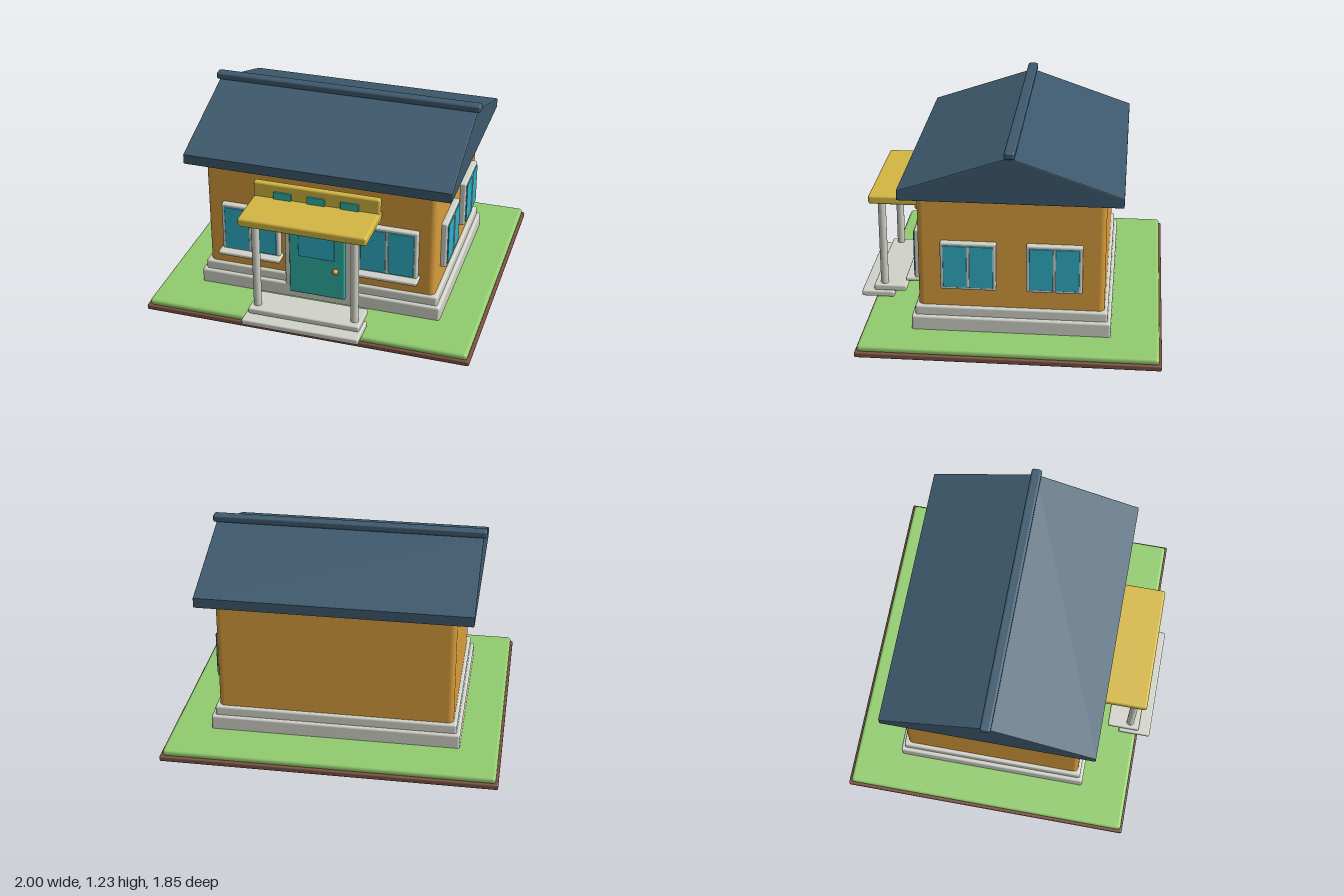
import * as THREE from 'three';
import { RoundedBoxGeometry } from 'three/addons/geometries/RoundedBoxGeometry.js';

const paint = (name, color) => {
  const m = new THREE.MeshStandardMaterial({ color });
  m.name = name;
  return m;
};

export function createModel() {
  const soil = paint('soil brown', 0x7a5040);
  const grass = paint('grass green', 0x92cc6e);
  const stone = paint('pale stone', 0xd2d3c9);
  const wall = paint('ochre wall', 0xd89c3c);
  const slate = paint('slate blue roof', 0x3d596d);
  const glass = paint('window blue', 0x30b0c8);
  const teal = paint('door teal', 0x2fb5a8);
  const yellow = paint('canopy yellow', 0xd4b843);
  const brass = paint('brass', 0xe0a030);

  const model = new THREE.Group();
  model.name = 'house';

  const add = (name, geometry, material, parent = model) => {
    const mesh = new THREE.Mesh(geometry, material);
    mesh.name = name;
    parent.add(mesh);
    return mesh;
  };

  // Rounded box given by its extents on each axis
  const block = (name, material, [x0, x1], [y0, y1], [z0, z1], r = 0.008, parent = model) => {
    const mesh = add(name, new RoundedBoxGeometry(x1 - x0, y1 - y0, z1 - z0, 3, r), material, parent);
    mesh.position.set((x0 + x1) / 2, (y0 + y1) / 2, (z0 + z1) / 2);
    return mesh;
  };
  const sym = (h) => [-h, h];

  // Ground
  block('soil', soil, sym(1), [0, 0.035], [-0.92, 0.85], 0.01);
  block('lawn', grass, sym(0.985), [0.025, 0.07], [-0.905, 0.838], 0.02);

  // Foundation and walls
  block('lowerFoundation', stone, sym(0.752), [0.05, 0.158], [-0.62, 0.55], 0.014);
  block('upperFoundation', stone, sym(0.73), [0.13, 0.216], [-0.6, 0.53], 0.014);
  block('walls', wall, sym(0.708), [0.16, 0.905], [-0.58, 0.512], 0.035);

  // Gabled roof, extruded along x with a slight bevel
  const b = 0.007;
  const gable = new THREE.Shape([
    [-0.605 + b, 0.915 + b], [0.677 - b, 0.915 + b], [0.677 - b, 0.977 - b],
    [0.036, 1.195 - b], [-0.605 + b, 0.977 - b],
  ].map(([x, y]) => new THREE.Vector2(x, y)));
  const roofGeometry = new THREE.ExtrudeGeometry(gable, {
    depth: 1.62 - 2 * b, bevelEnabled: true, bevelSize: b, bevelThickness: b, bevelSegments: 2,
  });
  roofGeometry.translate(0, 0, -0.81 + b).rotateY(Math.PI / 2);
  add('roof', roofGeometry, slate);
  block('roofRidge', slate, sym(0.83), [1.187, 1.233], [-0.068, -0.005], 0.014);

  // Window facing +z, centred on its own origin, with its back at z = 0
  const makeWindow = (name, w, h, border, withSill) => {
    const g = new THREE.Group();
    g.name = name;
    const x = w / 2, y = h / 2, gx = x - border, gy = y - border;
    block('windowFrame', stone, sym(x), sym(y), [-0.01, 0.035], 0.01, g);
    block('windowGlass', glass, sym(gx), sym(gy), [0.033, 0.042], 0.003, g);
    block('windowMullion', stone, sym(0.008), sym(gy), [0.03, 0.047], 0.004, g);
    if (withSill) block('windowSill', stone, sym(x + 0.012), [-y - 0.01, -y + 0.014], [-0.01, 0.088], 0.008, g);
    model.add(g);
    return g;
  };
  for (const s of [-1, 1]) {
    makeWindow('frontWindow', 0.365, 0.32, 0.02, true).position.set(s * 0.425, 0.485, 0.512);
  }
  for (const z of [0.213, -0.287]) {
    const side = makeWindow('sideWindow', 0.326, 0.298, 0.018, false);
    side.position.set(0.708, 0.485, z);
    side.rotation.y = Math.PI / 2;
  }

  // Door
  block('doorFrame', stone, sym(0.21), [0.1, 0.643], [0.5, 0.55], 0.012);
  block('door', teal, sym(0.173), [0.118, 0.612], [0.53, 0.574], 0.008);
  block('doorWindow', glass, sym(0.113), [0.385, 0.553], [0.573, 0.582], 0.003);
  add('doorKnob', new THREE.SphereGeometry(0.018, 20, 14), brass).position.set(0.118, 0.315, 0.584);

  // Porch steps
  block('lowerStep', stone, sym(0.358), [0.068, 0.106], [0.725, 0.925], 0.01);
  block('upperStep', stone, sym(0.342), [0.103, 0.142], [0.65, 0.85], 0.01);

  // Porch columns, canopy and the board above it
  for (const s of [-1, 1]) {
    add('porchColumn', new THREE.CylinderGeometry(0.024, 0.024, 0.57, 24), stone).position.set(s * 0.3, 0.42, 0.79);
  }
  block('canopy', yellow, sym(0.386), [0.7, 0.756], [0.52, 0.857], 0.015);
  block('canopyBoard', yellow, sym(0.386), [0.676, 0.85], [0.537, 0.577], 0.014);
  for (const x of [-0.205, 0, 0.205]) {
    block('boardPanel', teal, [x - 0.055, x + 0.055], [0.735, 0.802], [0.575, 0.587], 0.003);
  }

  return model;
}
